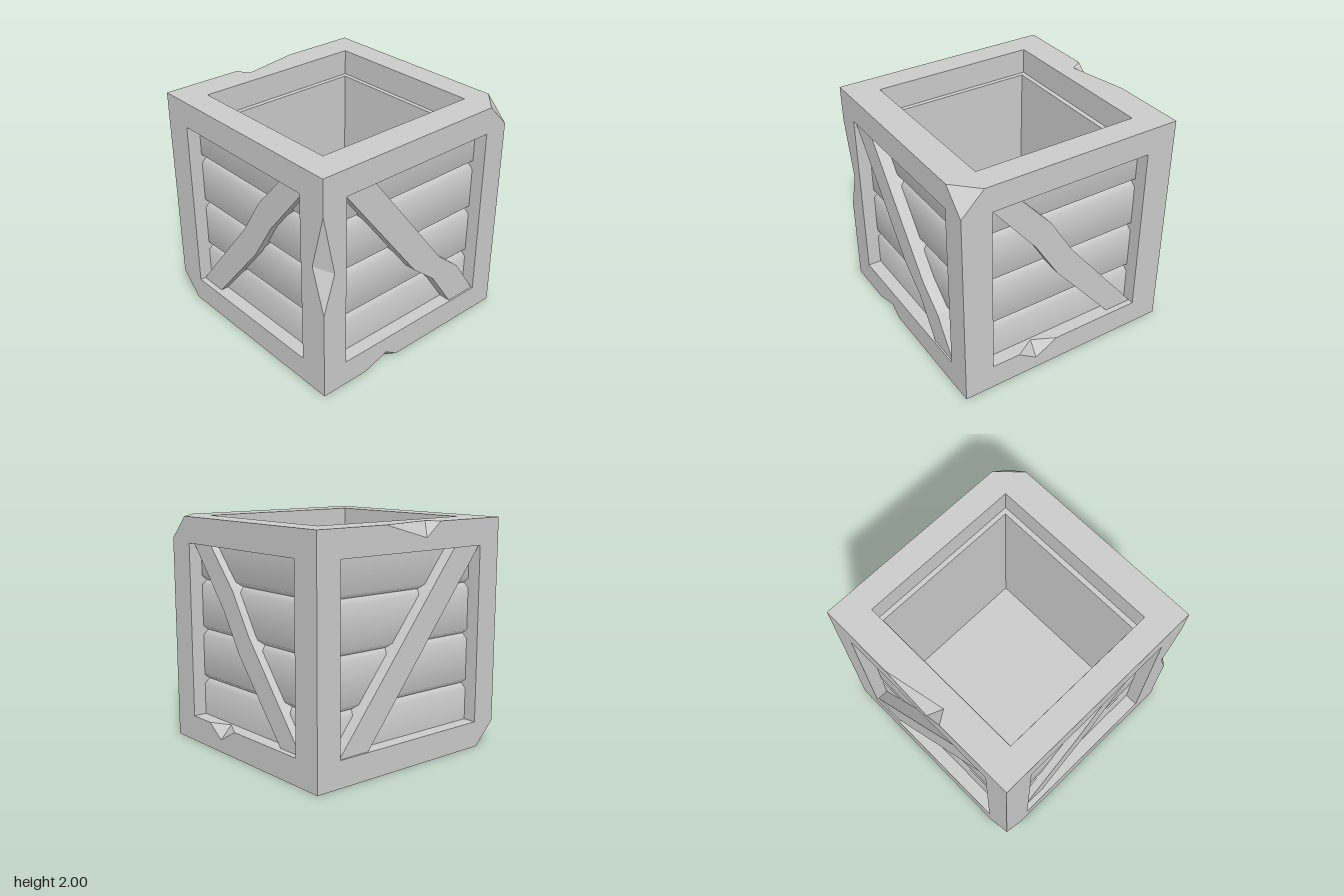
import * as THREE from 'three';

const grey = new THREE.MeshStandardMaterial({ color: 0xcccccc });
const vec = (x, y, z) => new THREE.Vector3(x, y, z);
const points = (list) => list.map(([u, v]) => new THREE.Vector2(u, v));
const rectangle = (a, b) => [[-a, -b], [a, -b], [a, b], [-a, b]];
const X = vec(1, 0, 0), Y = vec(0, 1, 0), Z = vec(0, 0, 1);
const minus = (axis) => axis.clone().negate();

// Half sizes of the openings along each axis; the crate spans -1..1 around its centre
const HALF = vec(0.772, 0.772, 0.735);
const PLANK_LEVEL = 0.88, BRACE_BASE = 0.82;

// Braces: half width, surface level, kinks of the centre line and half offset of the edges there
const straight = { half: 0.15, level: 0.985, kinks: [], offset: [0, 0] };
const bent = { ...straight, kinks: [[0.155, -0.235], [0.39, -0.43]], offset: [0.15, 0] };
const crooked = { half: 0.13, level: 0.95, kinks: [[-0.23, 0.33], [-0.01, -0.02]], offset: [0.07, 0.09] };

// Sides with their u and v axes; lean is the side of u on which the brace starts at the top
const sides = [
  { name: 'front', u: X, v: Y, brace: bent, lean: -1 },
  { name: 'right', u: minus(Z), v: Y, brace: crooked, lean: -1 },
  { name: 'back', u: minus(X), v: Y, brace: straight, lean: 1 },
  { name: 'left', u: Z, v: Y, brace: crooked, lean: 1 },
  { name: 'bottom', u: Z, v: minus(X), brace: { ...straight, level: 0.95 }, lean: 1 },
  { name: 'top', u: X, v: minus(Z) },
];

// V-shaped chips: p and q on a beam edge, a and b on the two adjoining faces
const chips = [
  { p: vec(-0.55, -1, 1), q: vec(-0.19, -1, 1), a: vec(-0.31, -0.92, 1), b: vec(-0.35, -1, 0.9) },
  { p: vec(-1, 0.69, 1), q: vec(-1, -0.2, 1), a: vec(-0.89, 0.15, 1), b: vec(-1, 0.2, 0.87) },
  { p: vec(-0.285, 1, -1), q: vec(0.32, 1, -1), a: vec(-0.215, 1, -0.89), b: vec(-0.13, 0.875, -1) },
];
const innerChip = { p: vec(1, -HALF.y, 0.48), q: vec(1, -HALF.y, 0.1), a: vec(1, -0.89, 0.31), b: vec(0.9, -HALF.y, 0.3) };

// Broken corners, each cut by a triangle
const cornerCuts = [1, -1].map((sign) => {
  const corner = vec(sign, sign, sign);
  return { corner, cut: [X, Y, Z].map((axis) => corner.clone().addScaledVector(axis, -0.2 * sign)) };
});

function addMesh(parent, geometry, name, matrix) {
  if (matrix) geometry.applyMatrix4(matrix);
  const mesh = new THREE.Mesh(geometry, grey);
  mesh.name = name;
  parent.add(mesh);
}

const basis = (u, v, n, origin) => new THREE.Matrix4().makeBasis(u, v, n).setPosition(origin);

// Those of the given points that lie on a face, in the face's own coordinates
const onFace = (list, u, v, n) =>
  list.filter((p) => p.dot(n) > 0.999).map((p) => [p.dot(u), p.dot(v)]);

const byAngle = (list) => list.sort((a, b) => Math.atan2(a[1], a[0]) - Math.atan2(b[1], b[0]));

// Square outline of a face with its edge chips and broken corners
function faceOutline(u, v, n) {
  const whole = rectangle(1, 1).filter(([a, b]) => {
    const corner = n.clone().addScaledVector(u, a).addScaledVector(v, b);
    return !cornerCuts.some((c) => c.corner.distanceTo(corner) < 0.01);
  });
  const damage = [
    ...cornerCuts.flatMap((c) => c.cut),
    ...chips.filter((c) => c.p.dot(n) > 0.999).flatMap(Object.values),
  ];
  return byAngle([...whole, ...onFace(damage, u, v, n)]);
}

// A flat triangle whose front looks toward a given point
function addFacet(parent, [a, b, c], toward, name) {
  const normal = b.clone().sub(a).cross(c.clone().sub(a));
  const flipped = normal.dot(toward.clone().sub(a)) < 0;
  const geometry = new THREE.BufferGeometry().setFromPoints(flipped ? [a, c, b] : [a, b, c]);
  geometry.computeVertexNormals();
  addMesh(parent, geometry, name);
}

// One plank: a strip with soft bevels next to its neighbours
function plankGeometry(half, v0, v1, bevelLow, bevelHigh) {
  const flat = (v) => [[v, PLANK_LEVEL, 0]];
  const bevel = (v, s) => [[v, PLANK_LEVEL - 0.05, 0.75 * s], [v - 0.04 * s, PLANK_LEVEL, 0.25 * s]];
  const rows = [
    ...(bevelLow ? bevel(v0, -1) : flat(v0)),
    ...(bevelHigh ? bevel(v1, 1).reverse() : flat(v1)),
  ];
  const pos = [], nor = [], index = [];
  rows.forEach(([v, w, tilt], i) => {
    for (const side of [-half, half]) {
      pos.push(side, v, w);
      nor.push(0, tilt, Math.sqrt(1 - tilt * tilt));
    }
    const j = 2 * i;
    if (i < rows.length - 1) index.push(j, j + 1, j + 3, j, j + 3, j + 2);
  });
  const geometry = new THREE.BufferGeometry();
  geometry.setAttribute('position', new THREE.Float32BufferAttribute(pos, 3));
  geometry.setAttribute('normal', new THREE.Float32BufferAttribute(nor, 3));
  return geometry.setIndex(index);
}

// Diagonal board following a kinked centre line from one top corner to the opposite bottom corner
function braceGeometry({ half, level, kinks, offset }, lean, hu, hv) {
  const end = [half, 0];
  const line = [[half - hu, hv, end], ...kinks.map((k) => [...k, offset]), [hu - half, -hv, end]];
  const edge = (s) => line.map(([u, v, [du, dv]]) => [-lean * (u + s * du), v + s * dv]);
  const shape = new THREE.Shape(points([...edge(1), ...edge(-1).reverse()]));
  return new THREE.ExtrudeGeometry(shape, { depth: level - BRACE_BASE, bevelEnabled: false });
}

export function createModel() {
  const model = new THREE.Group();
  model.name = 'crate';
  const body = new THREE.Group();
  body.name = 'crateBody';
  body.position.y = 1;
  model.add(body);
  const frame = new THREE.Group();
  frame.name = 'frame';
  body.add(frame);

  for (const { name, u, v, brace, lean } of sides) {
    const n = u.clone().cross(v);
    const [hu, hv, hn] = [u, v, n].map((axis) => Math.abs(axis.dot(HALF)));
    const chipped = name === 'right';

    // Outer face of the beams, with its opening
    const face = new THREE.Shape(points(faceOutline(u, v, n)));
    const holeChip = chipped ? onFace(Object.values(innerChip), u, v, n) : [];
    face.holes.push(new THREE.Path(points(byAngle([...rectangle(hu, hv), ...holeChip]))));
    addMesh(frame, new THREE.ShapeGeometry(face), name + 'FrameFace', basis(u, v, n, n));

    // Four inner walls of the opening
    let [a, b, ha, hb] = [u, v, hu, hv];
    for (let k = 0; k < 4; k++) {
      const { p, q, b: tip } = innerChip;
      const wallChip = chipped && k === 0 ? [p, tip, q].map((c) => [c.dot(u), 1 - c.dot(n)]) : [];
      const wall = new THREE.Shape(points([[-ha, 0], ...wallChip, [ha, 0], [ha, 1 - hn], [-ha, 1 - hn]]));
      const origin = n.clone().addScaledVector(b, -hb);
      addMesh(frame, new THREE.ShapeGeometry(wall), name + 'OpeningWall', basis(a, minus(n), b, origin));
      [a, b, ha, hb] = [b, minus(a), hb, ha];
    }
    if (!brace) continue;

    // Planks and the diagonal brace over them
    const edges = [-hv, -0.45, -0.005, 0.44, hv];
    for (let i = 0; i < 4; i++) {
      const plank = plankGeometry(hu, edges[i], edges[i + 1], i > 0, i < 3);
      addMesh(body, plank, name + 'Plank', basis(u, v, n, vec(0, 0, 0)));
    }
    const origin = n.clone().multiplyScalar(BRACE_BASE);
    addMesh(body, braceGeometry(brace, lean, hu, hv), name + 'Brace', basis(u, v, n, origin));
  }

  // Chips and broken corners
  for (const { p, q, a, b } of [...chips, innerChip]) {
    const middle = p.clone().lerp(q, 0.5);
    for (const end of [p, q]) addFacet(frame, [end, a, b], middle, 'edgeChip');
  }
  for (const { corner, cut } of cornerCuts) addFacet(frame, cut, corner, 'cornerChip');

  // Inner lining: walls with a ledge under the top beams, and the floor
  const lining = new THREE.Shape(points(rectangle(HALF.x, HALF.z)));
  lining.holes.push(new THREE.Path(points(rectangle(0.73, 0.69))));
  const walls = new THREE.ExtrudeGeometry(lining, { depth: 2 * HALF.y, bevelEnabled: false });
  addMesh(body, walls.rotateX(-Math.PI / 2).translate(0, -HALF.y, 0), 'innerWalls');
  const floor = new THREE.BoxGeometry(2 * HALF.x, 0.04, 2 * HALF.z);
  addMesh(body, floor.translate(0, 0.02 - HALF.y, 0), 'innerFloor');

  return model;
}
